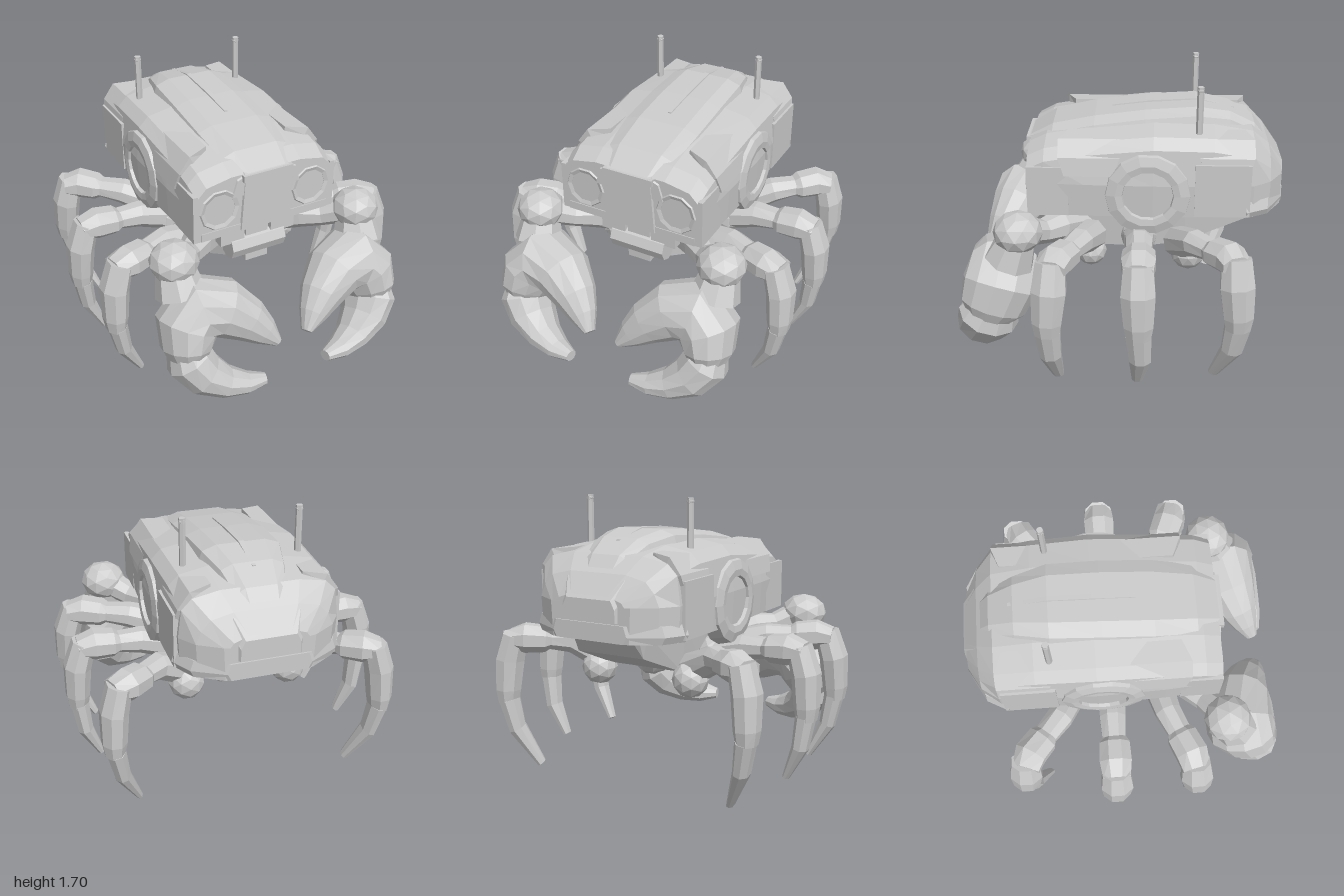
import * as THREE from 'three';

const grey = new THREE.MeshStandardMaterial({ color: 0xcccccc, flatShading: true, side: THREE.DoubleSide });
const V = (x, y, z) => new THREE.Vector3(x, y, z);

// Skin a row of equal-length rings (counter-clockwise about the travel direction) and cap both ends
function skin(rings) {
  const pos = [];
  const tri = (a, b, c) => [a, b, c].forEach(p => pos.push(p.x, p.y, p.z));
  const n = rings[0].length;
  for (let i = 0; i < rings.length - 1; i++) {
    for (let j = 0; j < n; j++) {
      const k = (j + 1) % n;
      tri(rings[i][j], rings[i][k], rings[i + 1][k]);
      tri(rings[i][j], rings[i + 1][k], rings[i + 1][j]);
    }
  }
  const mid = r => r.reduce((m, p) => m.add(p), V(0, 0, 0)).divideScalar(n);
  const first = rings[0], last = rings[rings.length - 1], m0 = mid(first), m1 = mid(last);
  for (let j = 0; j < n; j++) {
    const k = (j + 1) % n;
    tri(m0, first[k], first[j]);
    tri(m1, last[j], last[k]);
  }
  const g = new THREE.BufferGeometry();
  g.setAttribute('position', new THREE.Float32BufferAttribute(pos, 3));
  g.computeVertexNormals();
  return g;
}

// Limb through stations [x, y, z, radius, thickness]; thickness is measured along ref
function limb(stations, s, ref, sides = 8) {
  const c = stations.map(p => V(p[0] * s, p[1], p[2]));
  const n = V(ref[0] * s, ref[1], ref[2]);
  return skin(c.map((p, i) => {
    const t = c[Math.min(i + 1, c.length - 1)].clone().sub(c[Math.max(i - 1, 0)]).normalize();
    const v = n.clone().addScaledVector(t, -n.dot(t)).normalize();
    const u = v.clone().cross(t);
    const [, , , ru, rv = ru] = stations[i];
    return Array.from({ length: sides }, (_, j) => {
      const a = (j + 0.5) / sides * Math.PI * 2;
      return p.clone().addScaledVector(u, Math.cos(a) * ru).addScaledVector(v, Math.sin(a) * rv);
    });
  }));
}

// Symmetric ring at depth z from half-profile points listed top to bottom
const ring = (half, z) => [
  ...half.map(([x, y]) => V(x, y, z)),
  ...half.slice().reverse().map(([x, y]) => V(-x, y, z)),
];

export function createModel() {
  const model = new THREE.Group();
  const add = (name, geometry, x = 0, y = 0, z = 0) => {
    const m = new THREE.Mesh(geometry, grey);
    m.name = name;
    m.position.set(x, y, z);
    model.add(m);
    return m;
  };
  const box = (name, w, h, d, x, y, z) => add(name, new THREE.BoxGeometry(w, h, d), x, y, z);

  // Car-like shell: [z, bottom half width, shoulder width, shoulder y]
  add('bodyShell', skin([
    [0.53, 0.44, 0.41, 1.29], [0.43, 0.45, 0.42, 1.34], [0.2, 0.465, 0.42, 1.38], [-0.2, 0.475, 0.43, 1.42],
    [-0.55, 0.465, 0.42, 1.41], [-0.78, 0.45, 0.41, 1.37], [-0.88, 0.38, 0.33, 1.28], [-0.96, 0.25, 0.22, 1.17],
  ].map(([z, b, w, y]) => ring([[w * 0.55, y + 0.03], [w * 0.93, y], [w + 0.03, y - 0.06],
    [b + 0.01, 1.15], [b, 0.95]], z))));

  // Raised roof panel: [z, half width, top y]
  add('roofPanel', skin([
    [0.54, 0.2, 1.32], [0.4, 0.23, 1.4], [0.15, 0.25, 1.455], [-0.15, 0.25, 1.495], [-0.45, 0.24, 1.515],
    [-0.65, 0.19, 1.48], [-0.8, 0.15, 1.4], [-0.93, 0.12, 1.24],
  ].map(([z, w, y]) => ring([[w * 0.6, y], [w * 0.95, y - 0.03], [w + 0.02, y - 0.13]], z))));
  add('roofRidge', skin([
    [0.05, 0.01, 1.475], [-0.2, 0.015, 1.508], [-0.45, 0.015, 1.522], [-0.68, 0.01, 1.47],
  ].map(([z, w, y]) => ring([[w, y], [w + 0.01, y - 0.06]], z))));
  box('roofCatch', 0.17, 0.03, 0.06, 0, 1.445, 0.03);

  // Front: tapered panel, hood lip and lower sill
  add('frontPanel', skin([[0.5, 0], [0.545, 0.01]]
    .map(([z, d]) => ring([[0.15 - d, 1.33 - d], [0.175 - d, 0.96]], z)).reverse()));
  box('hoodLip', 0.32, 0.04, 0.05, 0, 1.3, 0.535);
  box('frontSill', 0.84, 0.05, 0.03, 0, 0.975, 0.52);

  // Rear bumper and lid
  add('rearBumper', skin([[-0.74, 0.47], [-0.87, 0.4], [-0.97, 0.22]]
    .map(([z, w]) => ring([[w, 1.05], [w + 0.02, 0.99], [w, 0.95]], z))));
  add('rearLid', skin([[-0.8, 0.26, 1.38], [-0.9, 0.22, 1.28], [-0.975, 0.17, 1.18]]
    .map(([z, w, y]) => ring([[w * 0.85, y], [w, y - 0.05], [w, 1.06]], z))));

  // Belly keel, rising toward the rear
  add('belly', skin([
    [0.36, 0.17, 0.68], [0.25, 0.22, 0.64], [-0.15, 0.25, 0.64], [-0.4, 0.25, 0.68], [-0.77, 0.22, 0.83], [-0.84, 0.2, 0.93],
  ].map(([z, w, y]) => ring([[w + 0.03, 0.97], [w, y]], z))));

  // Mouthparts under the front
  box('mouthCentre', 0.15, 0.29, 0.12, 0, 0.8, 0.38);
  const jaw = add('mouthRoll', new THREE.CylinderGeometry(0.08, 0.08, 0.36, 8), 0, 0.77, 0.4);
  jaw.rotation.z = Math.PI / 2;

  for (const s of [1, -1]) {
    // Shallow headlight
    add('headlightRim', new THREE.TorusGeometry(0.115, 0.02, 5, 10), s * 0.3, 1.13, 0.52);
    box('mouthCheek', 0.16, 0.13, 0.14, s * 0.17, 0.88, 0.38);

    // Round side hub with a recessed disc
    const hub = [[0, 0], [0.14, 0], [0.15, 0.045], [0.19, 0.05], [0.245, 0.035], [0.265, -0.05]]
      .map(([r, h]) => new THREE.Vector2(r, h));
    add('sideHub', new THREE.LatheGeometry(hub, 14), s * 0.45, 1.09, -0.17).rotation.z = -s * Math.PI / 2;

    // Raised fenders over the shoulders and down the flanks
    for (const [z, d, top] of [[0.17, 0.25, 1.39], [-0.62, 0.22, 1.395]]) {
      add('shoulderFender', limb([[0.26, top, z, 0.035, d * 0.7], [0.38, top - 0.01, z, 0.035, d],
        [0.44, top - 0.09, z, 0.03, d], [0.465, 1.2, z, 0.02, d * 0.8]], s, [0, 0, 1], 4));
    }
    box('frontFlank', 0.03, 0.3, 0.24, s * 0.45, 1.1, 0.41);
    box('rearFlank', 0.03, 0.32, 0.32, s * 0.465, 1.12, -0.6);

    // Antenna
    add('antenna', new THREE.CylinderGeometry(0.02, 0.02, 0.34, 6), s * 0.34, 1.53, -0.46);
    add('antennaTip', new THREE.IcosahedronGeometry(0.023, 0), s * 0.34, 1.68, -0.46);

    // Leg sockets
    for (const [x, y, z, r] of [[0.32, 0.65, 0.17, 0.095], [0.32, 0.75, -0.12, 0.11], [0.32, 0.65, -0.42, 0.11]]) {
      add('legSocket', new THREE.IcosahedronGeometry(r, 1), s * x, y, z);
    }

    // Three walking legs: hip, thigh, shin and pointed foot
    const legs = {
      frontLeg: { hip: [0.3, 0.74, 0.17], mid: [0.52, 0.81, 0.22], knee: [0.84, 0.83, 0.36], shin: [0.9, 0.69, 0.37], ankle: [0.91, 0.5, 0.385], foot: [0.87, 0.25, 0.375], tip: [0.76, 0.04, 0.345] },
      middleLeg: { hip: [0.3, 0.75, -0.12], mid: [0.53, 0.81, -0.125], knee: [0.86, 0.83, -0.125], shin: [0.92, 0.69, -0.125], ankle: [0.93, 0.5, -0.13], foot: [0.9, 0.25, -0.14], tip: [0.81, 0.05, -0.125] },
      rearLeg: { hip: [0.3, 0.7, -0.36], mid: [0.5, 0.8, -0.45], knee: [0.76, 0.83, -0.67], shin: [0.81, 0.69, -0.68], ankle: [0.82, 0.5, -0.695], foot: [0.78, 0.25, -0.67], tip: [0.67, 0.01, -0.58] },
    };
    for (const [name, p] of Object.entries(legs)) {
      const along = f => p.mid.map((v, i) => v * (1 - f) + p.knee[i] * f);
      add(name + 'Hip', limb([[...p.hip, 0.1, 0.1], [...p.mid, 0.085, 0.08], [...along(0.5), 0.075, 0.06]], s, [0, 1, 0]));
      add(name + 'Thigh', limb([[...along(0.35), 0.07, 0.05], [...along(0.5), 0.1, 0.085], [...along(0.85), 0.105, 0.095],
        [p.knee[0] + 0.05, p.knee[1] - 0.01, p.knee[2], 0.09, 0.06]], s, [0, 1, 0]));
      add(name + 'Shin', limb([[p.knee[0] + 0.01, p.knee[1] + 0.02, p.knee[2], 0.075, 0.09], [...p.shin, 0.085, 0.105],
        [...p.ankle, 0.075, 0.09], [p.ankle[0], 0.42, p.ankle[2], 0.06, 0.075]], s, [0, 0, 1]));
      add(name + 'Foot', limb([[p.ankle[0] - 0.005, 0.44, p.ankle[2], 0.06, 0.08],
        [...p.foot, 0.05, 0.067], [...p.tip, 0.022, 0.035]], s, [0, 0, 1]));
    }

    // Claw arm and elbow
    add('clawArm', limb([[0.2, 0.78, 0.24, 0.09], [0.36, 0.83, 0.36, 0.095], [0.46, 0.84, 0.45, 0.075], [0.58, 0.9, 0.55, 0.09]], s, [0, 1, 0]));
    const elbow = add('clawElbow', new THREE.IcosahedronGeometry(0.145, 1), s * 0.61, 0.91, 0.57);
    elbow.scale.set(1, 0.85, 1);
    add('clawWrist', limb([[0.61, 0.88, 0.57, 0.11], [0.6, 0.72, 0.63, 0.15]], s, [0, 0, 1]));

    // Pincer lying in a tilted plane: [x, y, half height, half thickness]
    const tilt = [0.2, 0.4, 1];
    const inPlane = ([x, y, u, v]) => [x, y, 0.615 + 0.4 * (0.75 - y) + 0.2 * (0.6 - x), u, v];
    add('clawPalm', limb([[0.63, 0.36, 0.11, 0.14], [0.625, 0.43, 0.15, 0.2], [0.6, 0.55, 0.185, 0.225], [0.52, 0.635, 0.205, 0.215],
      [0.37, 0.6, 0.175, 0.18], [0.25, 0.51, 0.135, 0.13], [0.17, 0.43, 0.09, 0.085], [0.1, 0.355, 0.03, 0.04]].map(inPlane), s, tilt, 12));
    add('clawFinger', limb([[0.64, 0.45, 0.1, 0.15], [0.625, 0.36, 0.145, 0.185], [0.555, 0.26, 0.13, 0.16],
      [0.44, 0.19, 0.095, 0.12], [0.32, 0.16, 0.065, 0.085], [0.21, 0.16, 0.035, 0.04]].map(inPlane), s, tilt, 10));
  }
  return model;
}
